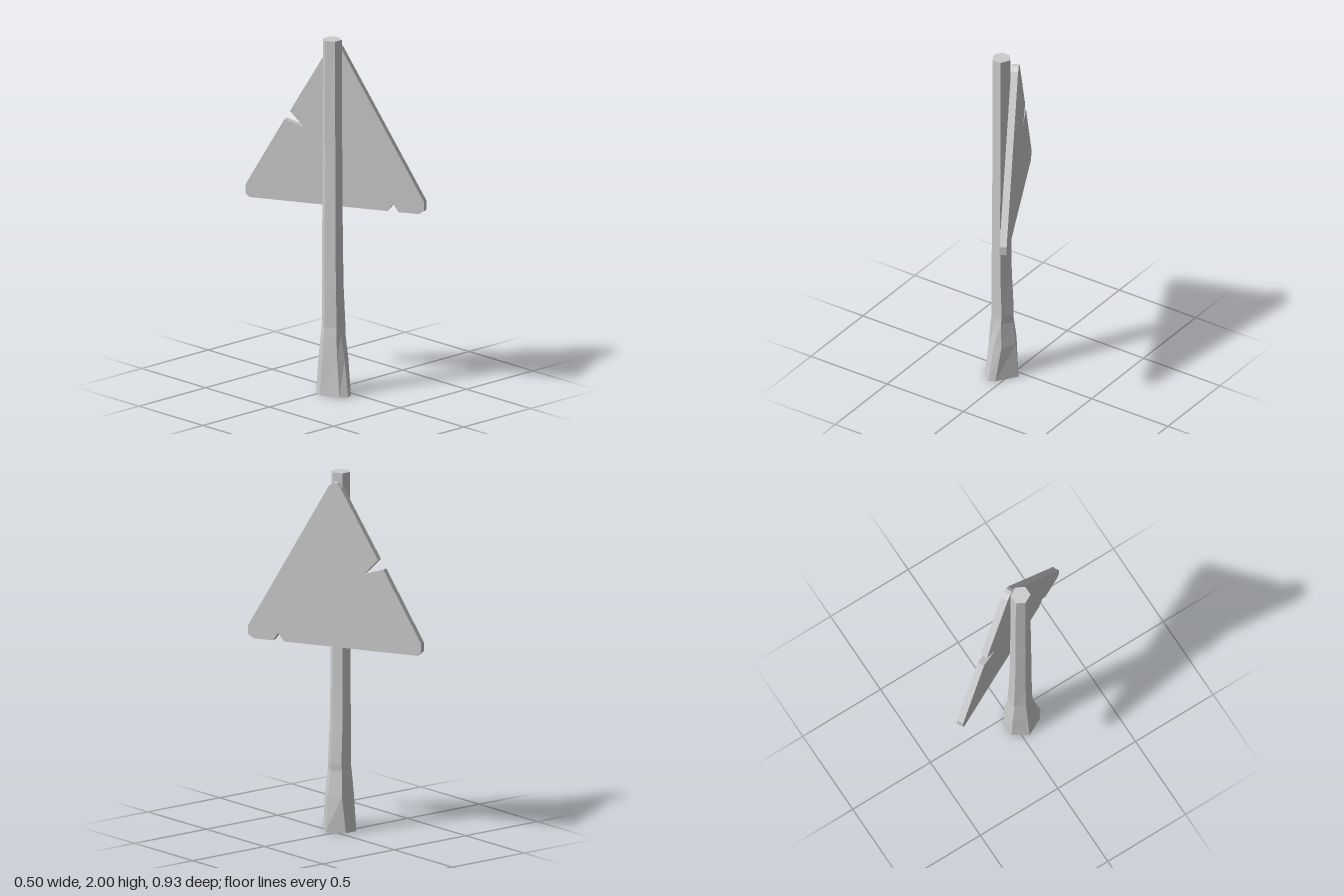
import * as THREE from 'three';

const material = new THREE.MeshStandardMaterial({ color: 0xcccccc, flatShading: true });

// Faceted solid through stacked rings of [x, z] points, capped at both ends
function loft(rings) {
  const positions = [];
  const add = (...points) => points.forEach((p) => positions.push(...p));
  const n = rings[0].points.length;
  const at = (ring, i) => [ring.points[i % n][0], ring.y, ring.points[i % n][1]];
  const first = rings[0], last = rings[rings.length - 1];
  for (let i = 0; i < n; i++) {
    for (let r = 0; r < rings.length - 1; r++) {
      const a = at(rings[r], i), b = at(rings[r], i + 1);
      const c = at(rings[r + 1], i + 1), d = at(rings[r + 1], i);
      add(a, b, c, a, c, d);
    }
    add([-0.067, first.y, 0.04], at(first, i + 1), at(first, i));
    add([-0.067, last.y, 0.038], at(last, i), at(last, i + 1));
  }
  const geometry = new THREE.BufferGeometry();
  geometry.setAttribute('position', new THREE.Float32BufferAttribute(positions, 3));
  geometry.computeVertexNormals();
  return geometry;
}

// Six-sided post section with an extra point in the middle of its front side
function postRing(y, left, right, back, front, bulge = 0) {
  const mid = (left + right) / 2, q = (right - left) / 4, z = 0.037;
  return {
    y,
    points: [[left, z], [mid - q, front], [mid, front + bulge], [mid + q, front],
      [right, z], [mid + q, back], [mid - q, back]],
  };
}

export function createModel() {
  const group = new THREE.Group();

  // Hewn post with a flared foot
  const foot = {
    y: 0,
    points: [[-0.158, 0.037], [-0.107, 0.138], [-0.067, 0.165], [-0.03, 0.148],
      [0.045, 0.037], [-0.03, -0.048], [-0.105, -0.045]],
  };
  const post = new THREE.Mesh(loft([
    foot,
    postRing(0.2, -0.141, 0.027, -0.033, 0.112, 0.014),
    postRing(0.34, -0.127, 0.007, -0.019, 0.101),
    postRing(0.38, -0.122, 0.01, -0.018, 0.098),
    postRing(0.62, -0.12, -0.005, -0.015, 0.094),
    postRing(1.0, -0.12, -0.01, -0.011, 0.091),
    postRing(1.3, -0.116, -0.012, -0.01, 0.089),
    postRing(2.0, -0.118, -0.013, -0.008, 0.086),
  ]), material);
  post.name = 'post';
  group.add(post);

  // Triangular board with clipped corners and two chipped notches
  const outline = [
    [-0.49, 1.04], [0.3, 1.04], [0.335, 1.085], [0.365, 1.04], [0.48, 1.04],
    [0.513, 1.06], [0.513, 1.11], [0.035, 1.935], [0.012, 1.955], [-0.012, 1.955],
    [-0.036, 1.93], [-0.258, 1.55], [-0.175, 1.465], [-0.29, 1.5],
    [-0.513, 1.11], [-0.513, 1.06],
  ];
  const depth = 0.039;
  const boardGeometry = new THREE.ExtrudeGeometry(
    new THREE.Shape(outline.map(([u, y]) => new THREE.Vector2(u, y))),
    { depth, bevelEnabled: false },
  );
  boardGeometry.translate(0, 0, -depth / 2);
  const board = new THREE.Mesh(boardGeometry, material);
  board.name = 'signBoard';
  board.rotation.y = THREE.MathUtils.degToRad(-63.2);
  group.add(board);

  return group;
}
